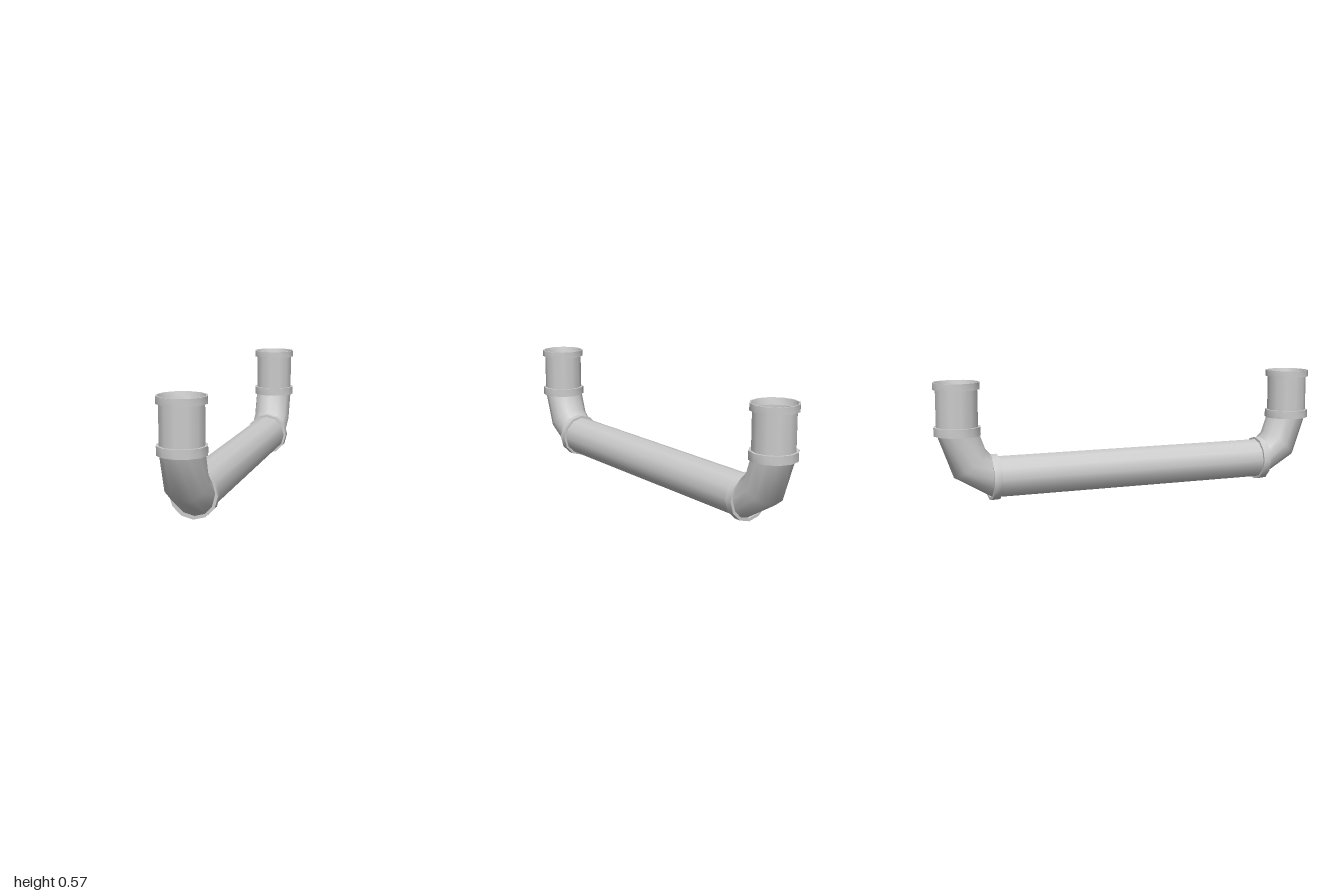
import * as THREE from 'three';
import { toCreasedNormals } from 'three/addons/utils/BufferGeometryUtils.js';

const SIDES = 12;
const PIPE_R = 0.1;
const COLLAR_R = 0.112;
const AXIS_Y = 0.115; // height of the long pipe's axis
const AXIS_Z = 0.887; // distance of each upright pipe from the centre

const material = new THREE.MeshStandardMaterial({ color: 0xcccccc, side: THREE.DoubleSide });

function part(name, geometry) {
  const mesh = new THREE.Mesh(geometry, material);
  mesh.name = name;
  return mesh;
}

// Open pipe along y, between two heights
function pipe(name, from, to) {
  const g = new THREE.CylinderGeometry(PIPE_R, PIPE_R, to - from, SIDES, 1, true);
  return part(name, g.translate(0, (from + to) / 2, 0));
}

// Ring swept from a profile of [radius, height] points
function ring(name, points) {
  const g = new THREE.LatheGeometry(points.map(([r, y]) => new THREE.Vector2(r, y)), SIDES);
  return part(name, toCreasedNormals(g, 0.8));
}

function collar(name, from, to) {
  const inner = PIPE_R - 0.002;
  return ring(name, [[inner, from], [COLLAR_R, from], [COLLAR_R, to], [inner, to]]);
}

// Bend with one middle ring, joining the upright pipe to the long pipe
function elbow() {
  const sections = [
    { z: AXIS_Z, y: 0.34, tilt: 0 },
    { z: 0.832, y: 0.189, tilt: 0.7 },
    { z: 0.72, y: AXIS_Y, tilt: Math.PI / 2 },
  ];
  const positions = [];
  const index = [];
  sections.forEach(({ z, y, tilt }, i) => {
    for (let j = 0; j < SIDES; j++) {
      const a = (j / SIDES) * Math.PI * 2;
      const out = PIPE_R * Math.cos(a);
      positions.push(PIPE_R * Math.sin(a), y - out * Math.sin(tilt), z + out * Math.cos(tilt));
      if (i === sections.length - 1) continue;
      const p = i * SIDES + j;
      const q = i * SIDES + ((j + 1) % SIDES);
      index.push(p, p + SIDES, q + SIDES, p, q + SIDES, q);
    }
  });
  const g = new THREE.BufferGeometry();
  g.setAttribute('position', new THREE.Float32BufferAttribute(positions, 3));
  g.setIndex(index);
  g.computeVertexNormals();
  return part('elbow', g);
}

// Elbow, upright pipe and collars at one end
function pipeEnd(name) {
  const end = new THREE.Group();
  end.name = name;

  const upright = new THREE.Group();
  upright.name = 'upright';
  upright.position.z = AXIS_Z;
  upright.add(
    pipe('uprightPipe', 0.34, 0.547),
    collar('lowerCollar', 0.327, 0.368),
    // Open socket with a thin lip
    ring('topSocket', [[PIPE_R, 0.545], [COLLAR_R, 0.545], [COLLAR_R, 0.578], [0.105, 0.578], [PIPE_R - 0.002, 0.547]]),
  );

  const joint = collar('jointCollar', 0.7, 0.738);
  joint.rotation.x = Math.PI / 2;
  joint.position.y = AXIS_Y;

  end.add(upright, elbow(), joint);
  return end;
}

export function createModel() {
  const model = new THREE.Group();
  model.name = 'pipe';

  const longPipe = pipe('longPipe', -0.72, 0.72);
  longPipe.rotation.x = Math.PI / 2;
  longPipe.position.y = AXIS_Y;

  const back = pipeEnd('backEnd');
  back.rotation.y = Math.PI;

  model.add(longPipe, pipeEnd('frontEnd'), back);
  return model;
}
